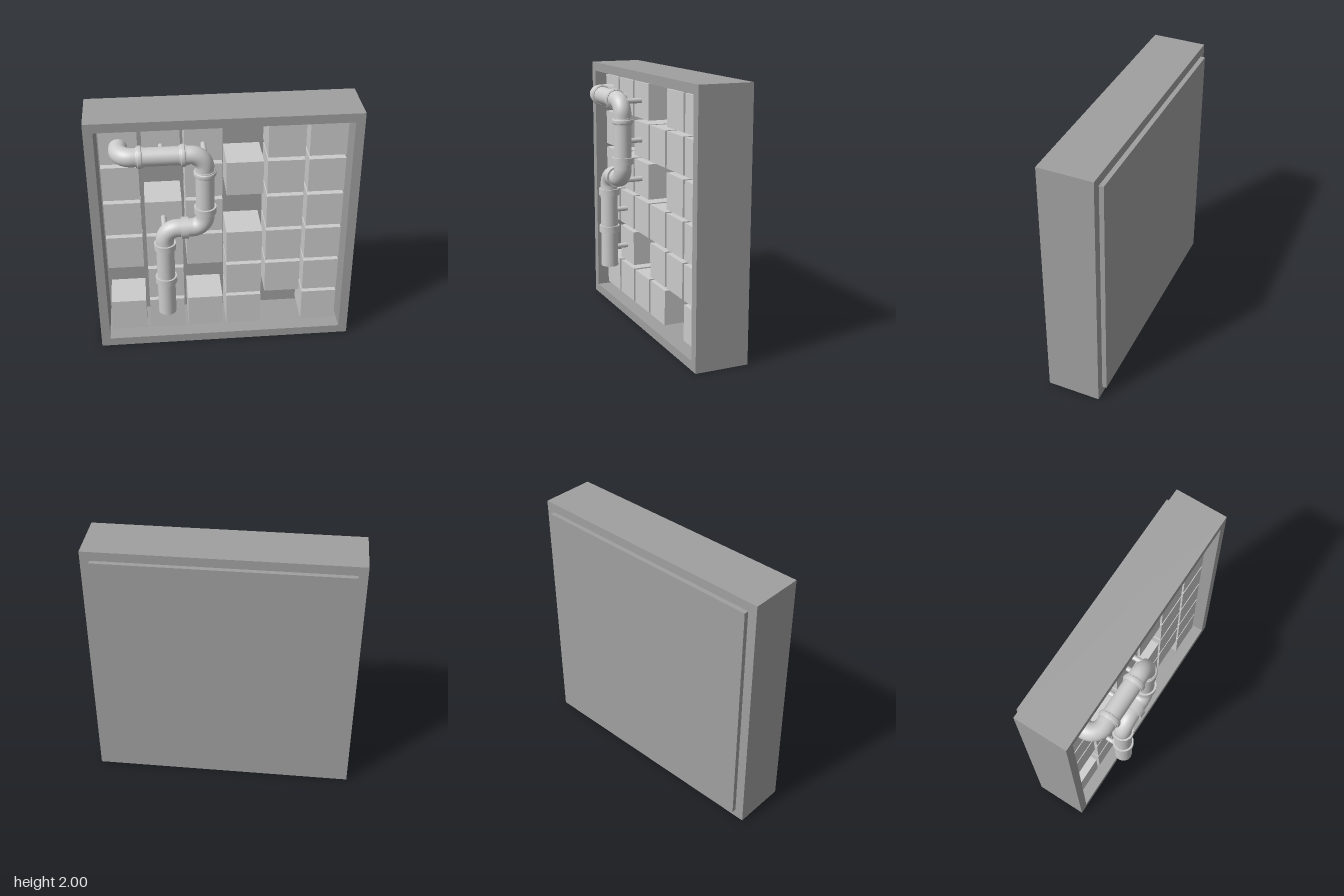
import * as THREE from 'three';
import { toCreasedNormals } from 'three/addons/utils/BufferGeometryUtils.js';

const V = (x, y, z) => new THREE.Vector3(x, y, z);

export function createModel() {
  const group = new THREE.Group();
  const darkGrey = new THREE.MeshStandardMaterial({ color: 0xa0a0a0 });
  darkGrey.name = 'darkGrey';
  const lightGrey = new THREE.MeshStandardMaterial({ color: 0xcccccc });
  lightGrey.name = 'lightGrey';

  function add(name, geometry, material, x = 0, y = 0, z = 0) {
    const mesh = new THREE.Mesh(geometry, material);
    mesh.name = name;
    mesh.position.set(x, y, z);
    group.add(mesh);
    return mesh;
  }

  // Square frame, open through the middle
  const square = (h, Type) => new Type([
    new THREE.Vector2(-h, -h), new THREE.Vector2(h, -h),
    new THREE.Vector2(h, h), new THREE.Vector2(-h, h),
  ]);
  const outline = square(1, THREE.Shape);
  outline.holes.push(square(0.93, THREE.Path));
  add('frame', new THREE.ExtrudeGeometry(outline, { depth: 0.41, bevelEnabled: false }),
    darkGrey, 0, 1, -0.265);

  // Back panel, standing slightly proud of the frame
  add('backPanel', new THREE.BoxGeometry(1.86, 1.86, 0.06), darkGrey, 0, 1, -0.27);

  // Grid of blocks, top row first; a dot is an empty cell
  const pitch = 0.306, depth = 0.3, face = 0.06;
  const block = new THREE.BoxGeometry(0.276, 0.276, depth);
  ['###.##', '#.####', '###.##', '######', '.#.###', '####.#'].forEach((row, r) => {
    [...row].forEach((cell, c) => {
      if (cell === '#') add('block', block, lightGrey,
        (c - 2.5) * pitch, 1 + (2.5 - r) * pitch, face - depth / 2);
    });
  });

  // Pipe path: straight runs joined by rounded elbows
  const R = 0.068, Z = 0.215, left = -0.765, mid = -0.46, right = -0.155;
  const top = 1.765, low = 1.155, end = 0.39;
  const corners = [V(left, top, 0.05), V(left, top, Z), V(right, top, Z),
    V(right, low, Z), V(mid, low, Z), V(mid, end, Z)];
  const bends = [0, 0.1, 0.1, 0.1, 0.1, 0];
  const toward = (a, b, d) => a.clone().add(b.clone().sub(a).setLength(d));
  const path = new THREE.CurvePath();
  let from = corners[0];
  for (let i = 1; i < corners.length - 1; i++) {
    const p = corners[i], b = bends[i];
    const enter = toward(p, corners[i - 1], b), leave = toward(p, corners[i + 1], b);
    path.add(new THREE.LineCurve3(from, enter));
    path.add(new THREE.CubicBezierCurve3(enter, toward(p, corners[i - 1], b * 0.448),
      toward(p, corners[i + 1], b * 0.448), leave));
    from = leave;
  }
  path.add(new THREE.LineCurve3(from, corners[5]));
  add('pipe', new THREE.TubeGeometry(path, 200, R, 32), lightGrey);

  // Lower end cap
  const cap = add('pipeEnd', new THREE.CircleGeometry(R, 32), lightGrey, mid, end, Z);
  cap.rotation.x = Math.PI / 2;

  // Collars: beaded ones on the upper run, plain bands below
  const lathe = (pts) => toCreasedNormals(new THREE.LatheGeometry(
    pts.map(([x, y]) => new THREE.Vector2(x, y)), 32), 0.6);
  const beaded = lathe([[0.06, -0.026], [0.074, -0.026], [0.075, -0.017], [0.08, -0.014],
    [0.083, -0.007], [0.083, 0.007], [0.08, 0.014], [0.075, 0.017], [0.074, 0.026], [0.06, 0.026]]);
  const plain = lathe([[0.06, -0.026], [0.082, -0.026], [0.082, 0.026], [0.06, 0.026]]);
  [
    [beaded, -0.615, top, true], [beaded, -0.31, top, true], [beaded, right, 1.615, false],
    [plain, right, 1.31, false], [plain, -0.31, low, true],
    [plain, mid, 1.005, false], [plain, mid, 0.7, false],
  ].forEach(([geometry, x, y, sideways]) => {
    const collar = add('collar', geometry, lightGrey, x, y, Z);
    if (sideways) collar.rotation.z = Math.PI / 2;
  });

  // Pegs holding the pipe to the blocks
  const peg = new THREE.CylinderGeometry(0.02, 0.02, 0.15, 12).rotateX(Math.PI / 2);
  [[mid, top], [right, top], [right, 1.46], [right, low], [mid, low], [mid, 0.85], [mid, 0.54]]
    .forEach(([x, y]) => add('peg', peg, lightGrey, x, y, 0.125));

  return group;
}
